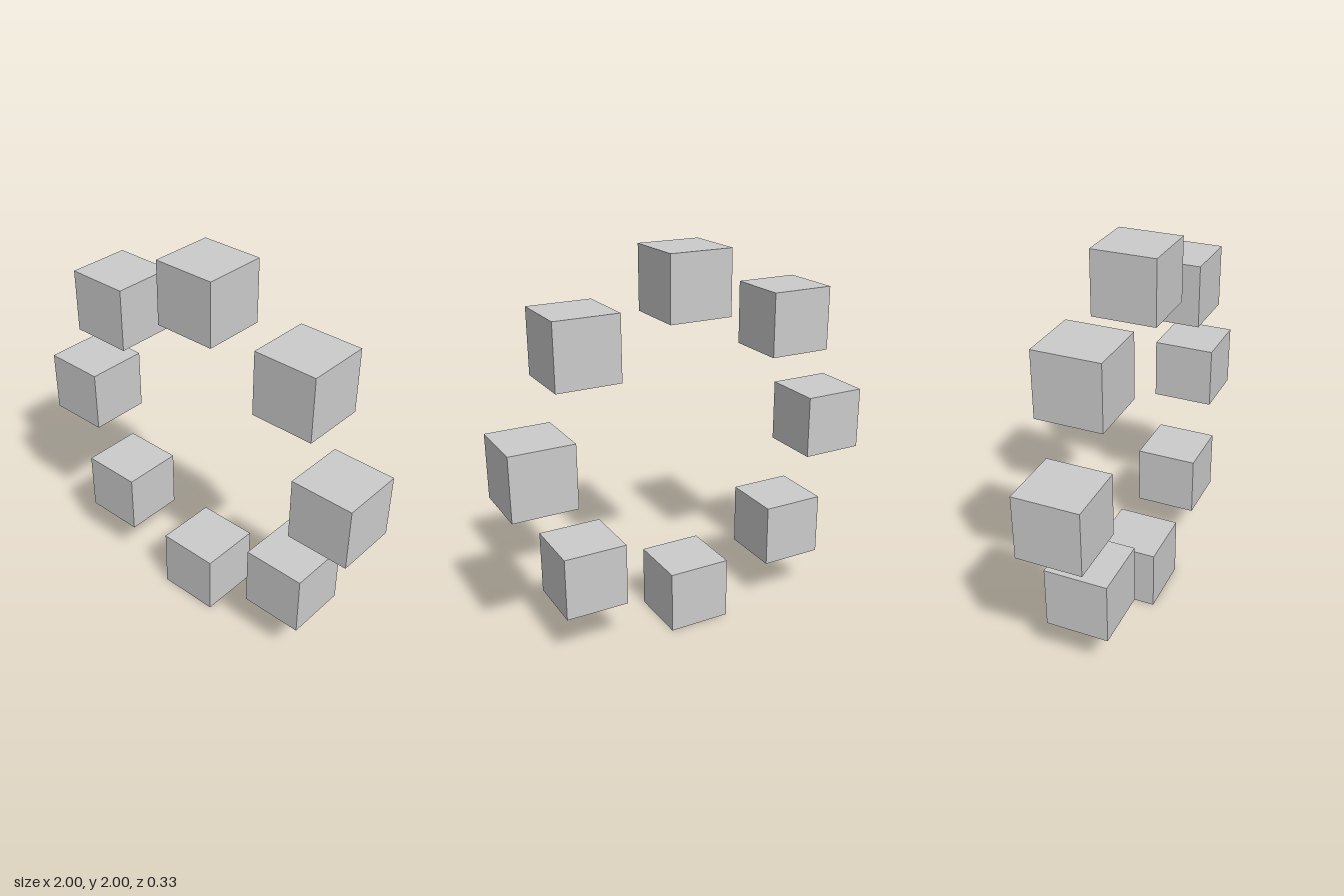
import * as THREE from 'three';

const COUNT = 8;
const SIZE = 1 / 3; // cube edge
const RADIUS = 5 / 6; // ring radius to cube centres

export function createModel() {
  const ring = new THREE.Group();
  ring.name = 'cubeRing';
  const geometry = new THREE.BoxGeometry(SIZE, SIZE, SIZE);
  const material = new THREE.MeshStandardMaterial({ color: 0xcccccc, flatShading: true });

  // Upright cubes evenly spaced around a vertical circle
  for (let i = 0; i < COUNT; i++) {
    const angle = (i / COUNT) * Math.PI * 2;
    const cube = new THREE.Mesh(geometry, material);
    cube.name = `cube${i + 1}`;
    cube.position.set(RADIUS * Math.cos(angle), 1 + RADIUS * Math.sin(angle), 0);
    ring.add(cube);
  }
  return ring;
}
